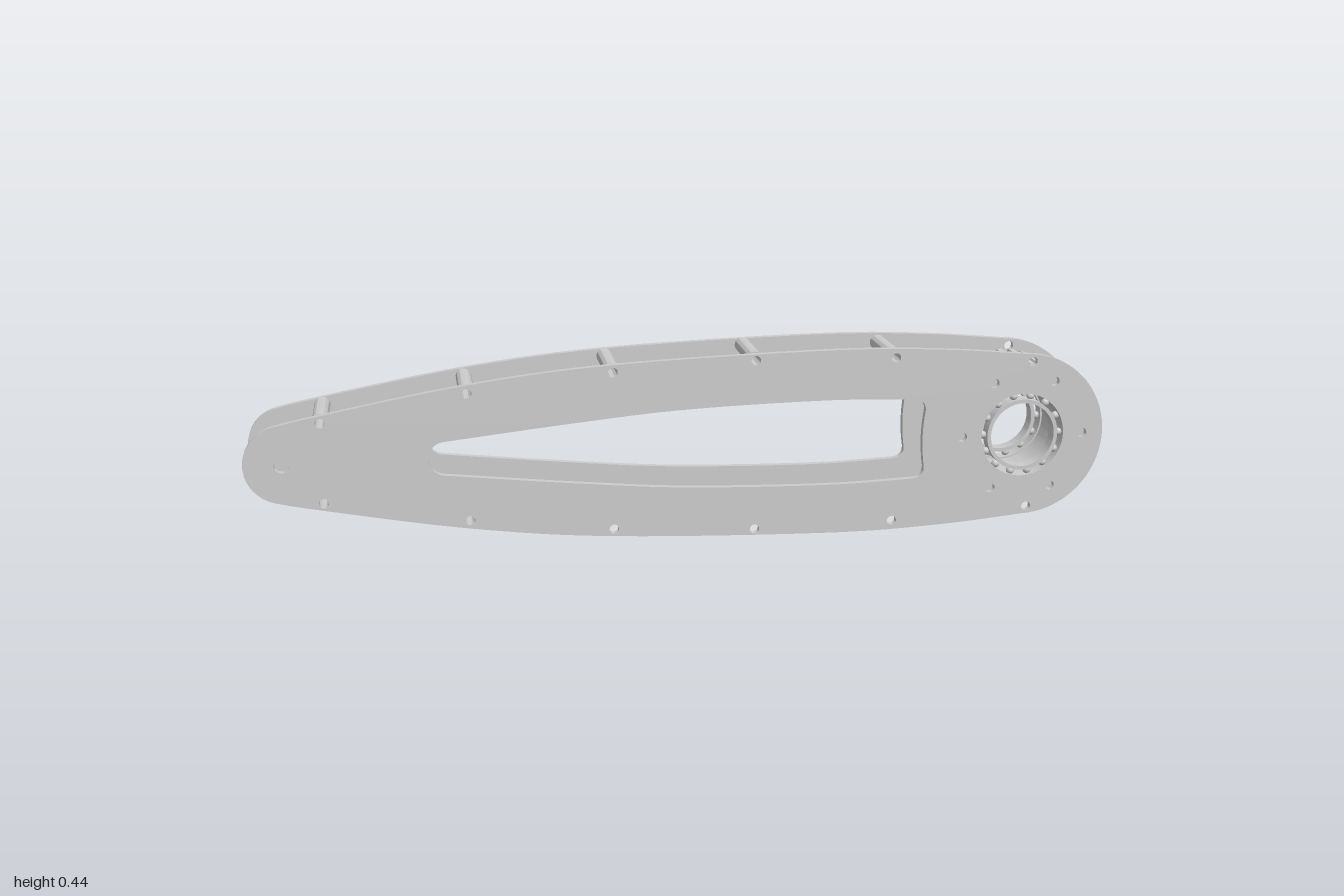
import * as THREE from 'three';
import { toCreasedNormals } from 'three/addons/utils/BufferGeometryUtils.js';

const CY = 0.222;              // height of the arm's long axis
const HUB_X = 0.803;           // pulley and bearing axis
const GAP = 0.08, FACE = 0.096; // inner and outer z of the side plates
const grey = new THREE.MeshStandardMaterial({ color: 0xcccccc });

// Extrude a shape along z between two depths
function slab(shape, z0, z1, name, curveSegments = 32) {
  let geo = new THREE.ExtrudeGeometry(shape, { depth: z1 - z0, bevelEnabled: false, curveSegments });
  geo.translate(0, 0, z0);
  geo = toCreasedNormals(geo, 0.5);
  const mesh = new THREE.Mesh(geo, grey);
  mesh.name = name;
  return mesh;
}

function hole(x, y, r) {
  const p = new THREE.Path();
  p.absarc(x, y, r, 0, Math.PI * 2, true);
  return p;
}

function ring(outer, inner, z0, z1, name) {
  const s = new THREE.Shape();
  s.absarc(0, 0, outer, 0, Math.PI * 2, false);
  s.holes.push(hole(0, 0, inner));
  return slab(s, z0, z1, name);
}

// Smooth run of points through [x, half height] pairs
function edge(pairs, sign) {
  return new THREE.SplineCurve(pairs.map(([x, h]) => new THREE.Vector2(x, h * sign))).getPoints(40);
}

// Spacer positions as [x, half height]
const SPACERS = [[-0.826, 0.093], [-0.5, 0.149], [-0.17, 0.186], [0.16, 0.202], [0.49, 0.197]];
const SCREWS = [...SPACERS, [0.82, 0.177]];

function plateShape() {
  // Long tapered outline with a round nose and a large round hub end
  const side = [[-0.93, 0.088], [-0.826, 0.11], [-0.5, 0.168], [-0.17, 0.203], [0.33, 0.22], [0.6, 0.213], [0.822, 0.194]];
  const a = Math.atan2(0.194, 0.017), b = Math.atan2(0.088, -0.02);
  const s = new THREE.Shape(edge(side, -1));
  s.absarc(0.805, 0, 0.195, -a, a, false);
  edge(side, 1).reverse().forEach(p => s.lineTo(p.x, p.y));
  s.absarc(-0.91, 0, 0.09, b, Math.PI * 2 - b, false);

  // Tapered window
  const rim = [[-0.558, 0.039], [-0.26, 0.071], [0, 0.093], [0.33, 0.102], [0.535, 0.096]];
  const w = new THREE.Path(edge(rim, 1));
  w.quadraticCurveTo(0.568, 0.094, 0.564, 0.065);
  w.quadraticCurveTo(0.554, 0, 0.564, -0.065);
  w.quadraticCurveTo(0.568, -0.094, 0.535, -0.096);
  edge(rim, -1).reverse().forEach(p => w.lineTo(p.x, p.y));
  w.absarc(-0.55, 0, 0.04, -1.77, 1.77, true);
  s.holes.push(w);

  // Pivot, spacer screws, bearing seat and hub bolt circle
  s.holes.push(hole(-0.914, 0, 0.018), hole(HUB_X, 0, 0.112));
  for (const [x, h] of SCREWS) s.holes.push(hole(x, h, 0.011), hole(x, -h, 0.011));
  for (let i = 0; i < 6; i++) {
    const t = i * Math.PI / 3;
    s.holes.push(hole(HUB_X + 0.147 * Math.cos(t), 0.147 * Math.sin(t), 0.011));
  }
  return s;
}

function pulley() {
  // Toothed belt wheel: trapezoid teeth around a hollow drum
  const N = 36, s = new THREE.Shape();
  const profile = [[0, 0.17], [0.5, 0.17], [0.62, 0.157], [0.88, 0.157]];
  for (let i = 0; i < N; i++) {
    for (const [f, r] of profile) {
      const t = (i + f) / N * Math.PI * 2;
      const x = r * Math.cos(t), y = r * Math.sin(t);
      if (i === 0 && f === 0) s.moveTo(x, y); else s.lineTo(x, y);
    }
  }
  s.closePath();
  s.holes.push(hole(0, 0, 0.104));
  return slab(s, -GAP, GAP, 'toothedPulley');
}

function bearing() {
  const g = new THREE.Group();
  const z0 = 0.062;
  g.add(ring(0.112, 0.1, z0, FACE, 'outerRace'), ring(0.086, 0.077, z0, FACE, 'innerRace'));
  const ballGeo = new THREE.SphereGeometry(0.0095, 14, 10);
  const COUNT = 14;
  for (let i = 0; i < COUNT; i++) {
    const t = i / COUNT * Math.PI * 2;
    const ball = new THREE.Mesh(ballGeo, grey);
    ball.name = 'bearingBall';
    ball.position.set(0.093 * Math.cos(t), 0.093 * Math.sin(t), (z0 + FACE) / 2);
    g.add(ball);
  }
  return g;
}

export function createModel() {
  const model = new THREE.Group();
  model.name = 'swingArm';
  const arm = new THREE.Group();
  arm.name = 'armAssembly';
  arm.position.y = CY;
  model.add(arm);

  // Two matching side plates
  const shape = plateShape();
  arm.add(slab(shape, GAP, FACE, 'frontPlate'), slab(shape, -FACE, -GAP, 'backPlate'));

  // Hollow spacers: five along the top, two at the narrow end below
  const addSpacer = (x, y) => {
    const spacer = ring(0.018, 0.011, -GAP, GAP, 'spacer');
    spacer.position.set(x, y, 0);
    arm.add(spacer);
  };
  SPACERS.forEach(([x, h]) => addSpacer(x, h));
  SPACERS.slice(0, 2).forEach(([x, h]) => addSpacer(x, -h));

  // Hub: belt pulley with a ball bearing on each side
  const hub = new THREE.Group();
  hub.name = 'hub';
  hub.position.x = HUB_X;
  const front = bearing(), back = bearing();
  front.name = 'frontBearing';
  back.name = 'backBearing';
  back.rotation.y = Math.PI;
  hub.add(pulley(), front, back);
  arm.add(hub);

  return model;
}
